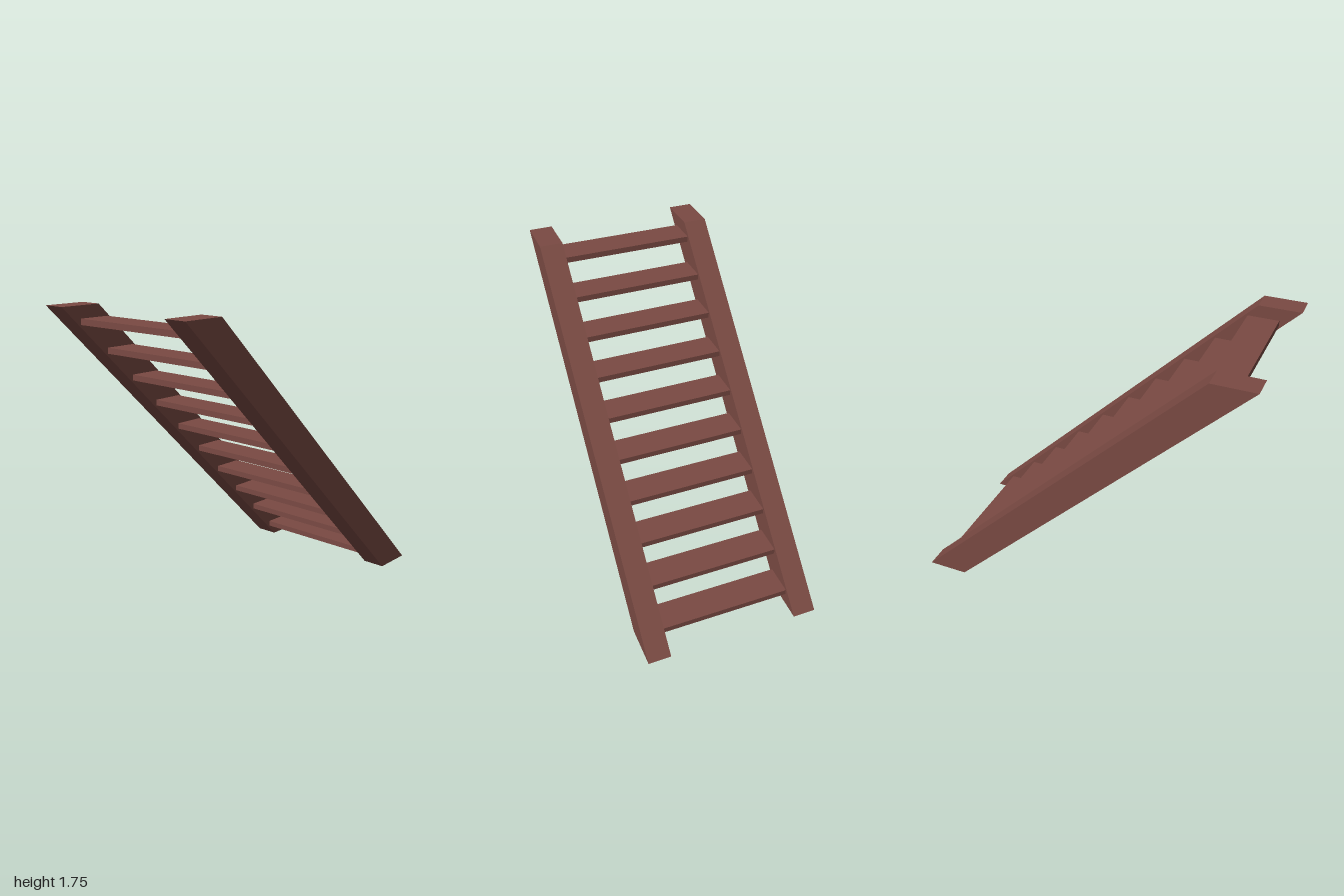
import * as THREE from 'three';

export function createModel() {
  const group = new THREE.Group();
  const wood = new THREE.MeshStandardMaterial({ color: 0x7a4a43 });
  wood.name = 'brown wood';

  const height = 1.755, inner = 0.39, outer = 0.527;
  const run = 0.245; // horizontal depth of a stringer

  // Sloping side beams with level-cut ends, drawn in (z, y) and extruded across x
  const profile = new THREE.Shape();
  profile.moveTo(1, 0);
  profile.lineTo(-1 + run, height);
  profile.lineTo(-1, height);
  profile.lineTo(1 - run, 0);
  profile.closePath();
  const stringerGeometry = new THREE.ExtrudeGeometry(profile, { depth: outer - inner, bevelEnabled: false });
  stringerGeometry.translate(0, 0, -(outer - inner) / 2);
  stringerGeometry.rotateY(Math.PI / 2); // profile x becomes -z

  for (const [name, side] of [['leftStringer', 1], ['rightStringer', -1]]) {
    const stringer = new THREE.Mesh(stringerGeometry, wood);
    stringer.name = name;
    stringer.position.x = side * (inner + outer) / 2;
    group.add(stringer);
  }

  // Level treads centred on the slope of the stringers
  const treadGeometry = new THREE.BoxGeometry(inner * 2, 0.034, 0.18);
  const count = 10, rise = 0.1755;
  for (let i = 0; i < count; i++) {
    const tread = new THREE.Mesh(treadGeometry, wood);
    const offset = (i - (count - 1) / 2) * rise;
    tread.name = `tread${i + 1}`;
    tread.position.set(0, height / 2 + offset, offset);
    group.add(tread);
  }
  return group;
}
